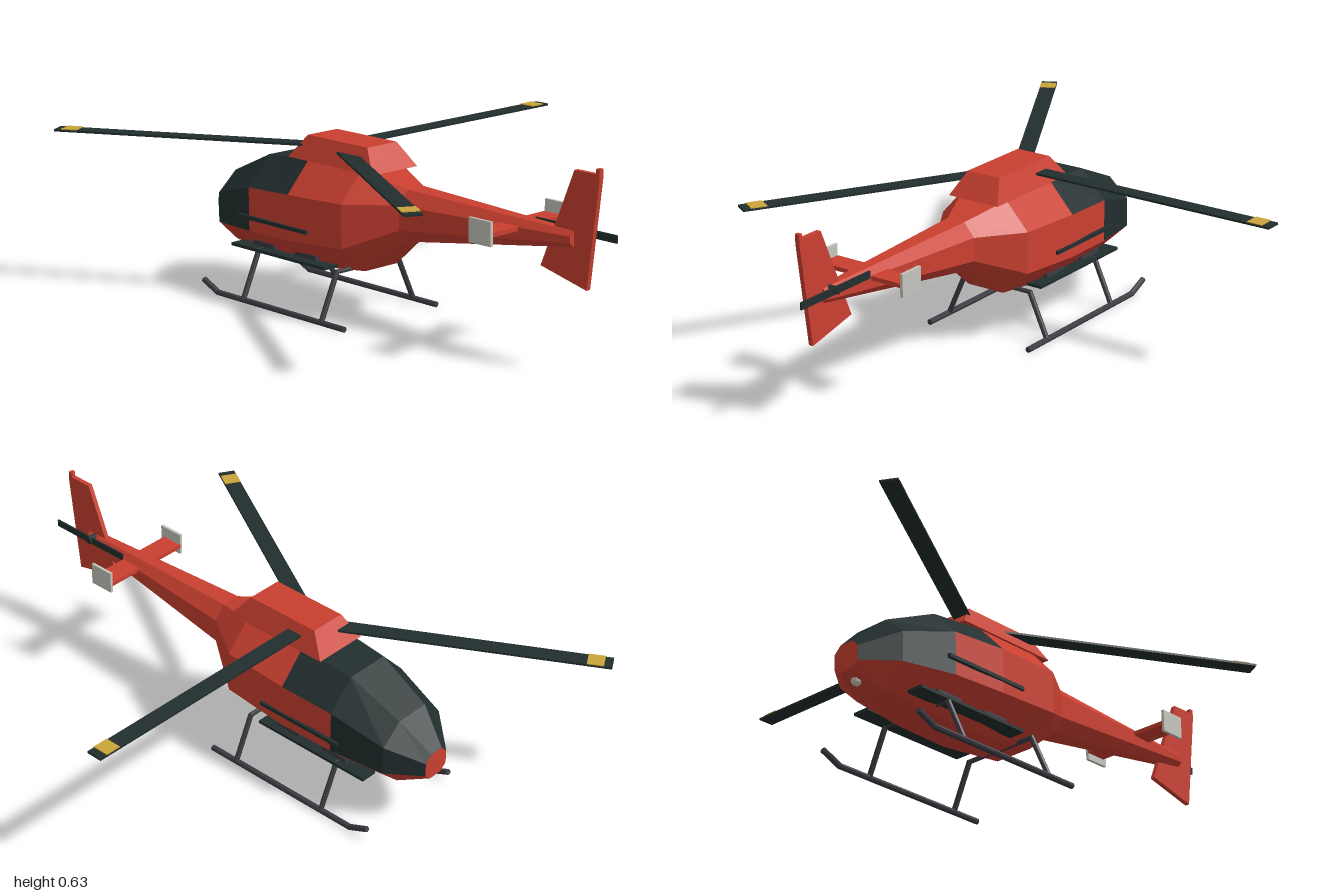
import * as THREE from 'three';

const mat = (name, color) => Object.assign(new THREE.MeshStandardMaterial({ color, flatShading: true }), { name });

export function createModel() {
  const red = mat('red paint', 0xc93f30);
  const dark = mat('dark glass and blades', 0x222e2e);
  const yellow = mat('yellow band', 0xcaa53a);
  const grey = mat('light grey', 0xc6c6be);
  const steel = mat('skid steel', 0x3c3b42);

  const root = new THREE.Group();
  root.name = 'helicopter';
  const craft = new THREE.Group();
  craft.name = 'airframe';
  craft.position.x = -0.23; // the airframe sits off centre because of the rotor
  root.add(craft);

  const add = (name, geo, material, x = 0, y = 0, z = 0, parent = craft) => {
    const m = new THREE.Mesh(geo, material);
    m.name = name;
    m.position.set(x, y, z);
    parent.add(m);
    return m;
  };
  const box = (name, w, h, d, material, x, y, z, parent) =>
    add(name, new THREE.BoxGeometry(w, h, d), material, x, y, z, parent);
  const rod = (name, a, b, r, material) => {
    const from = new THREE.Vector3(...a), to = new THREE.Vector3(...b);
    const dir = to.clone().sub(from);
    const m = add(name, new THREE.CylinderGeometry(r, r, dir.length(), 8), material);
    m.position.copy(from).add(to).multiplyScalar(0.5);
    m.quaternion.setFromUnitVectors(new THREE.Vector3(0, 1, 0), dir.normalize());
    return m;
  };

  // Hull sections, nose to tail: z, half width, top half, bottom half, y of top, shoulder, chine, bottom
  const sections = [
    [-0.685, 0.05, 0.025, 0.025, 0.294, 0.27, 0.222, 0.2],
    [-0.58, 0.135, 0.062, 0.06, 0.39, 0.325, 0.225, 0.155],
    [-0.39, 0.17, 0.078, 0.07, 0.475, 0.38, 0.235, 0.14],
    [-0.19, 0.18, 0.088, 0.072, 0.49, 0.39, 0.24, 0.137],
    [0.05, 0.172, 0.088, 0.07, 0.49, 0.398, 0.255, 0.165],
    [0.205, 0.073, 0.034, 0.034, 0.45, 0.405, 0.325, 0.283],
    [0.87, 0.024, 0.011, 0.011, 0.432, 0.418, 0.398, 0.385],
  ];
  const rings = sections.map(([z, w, t, b, yt, yu, yl, yb]) => [
    [b, yb, z], [w, yl, z], [w, yu, z], [t, yt, z], [-t, yt, z], [-w, yu, z], [-w, yl, z], [-b, yb, z],
  ]);
  const paint = [], glass = [];
  for (let i = 0; i < rings.length - 1; i++) {
    for (let k = 0; k < 8; k++) {
      const n = (k + 1) % 8;
      const a = rings[i][k], b = rings[i][n], c = rings[i + 1][n], d = rings[i + 1][k];
      const isGlass = (k >= 2 && k <= 4 && i < 3) || ((k === 1 || k === 5) && i < 2);
      (isGlass ? glass : paint).push(...a, ...b, ...c, ...a, ...c, ...d);
    }
  }
  const first = rings[0], last = rings[rings.length - 1];
  for (let k = 1; k < 7; k++) {
    paint.push(...first[0], ...first[k + 1], ...first[k]);
    paint.push(...last[0], ...last[k], ...last[k + 1]);
  }
  const hull = (name, pos, material) => {
    const g = new THREE.BufferGeometry();
    g.setAttribute('position', new THREE.Float32BufferAttribute(pos, 3));
    g.computeVertexNormals();
    add(name, g, material);
  };
  hull('fuselage', paint, red);
  hull('canopy', glass, dark);

  // Tapered engine cowling
  const cowl = new THREE.BoxGeometry(0.196, 0.075, 0.39);
  const p = cowl.attributes.position;
  for (let i = 0; i < p.count; i++) {
    if (p.getY(i) > 0) p.setXYZ(i, p.getX(i) * 0.65, p.getY(i), p.getZ(i) * 0.705);
  }
  cowl.computeVertexNormals();
  add('engineCowling', cowl, red, 0, 0.5255, -0.082);

  // Main rotor: three blades with a yellow band on top
  const rotor = new THREE.Group();
  rotor.name = 'mainRotor';
  rotor.position.set(0, 0.53, -0.15);
  craft.add(rotor);
  for (let i = 0; i < 3; i++) {
    const arm = new THREE.Group();
    arm.name = 'rotorBlade';
    arm.rotation.y = (i * Math.PI * 2) / 3;
    rotor.add(arm);
    box('blade', 0.885, 0.007, 0.056, dark, 0.5225, 0, 0, arm);
    box('bladeBand', 0.054, 0.003, 0.056, yellow, 0.912, 0.005, 0, arm);
  }

  // Tail fin
  const finShape = new THREE.Shape([
    [0.922, 0.262], [0.74, 0.305], [0.868, 0.615], [0.95, 0.615], [0.952, 0.632], [0.965, 0.632], [0.965, 0.6],
  ].map(([z, y]) => new THREE.Vector2(z, y)));
  const fin = new THREE.ExtrudeGeometry(finShape, { depth: 0.016, bevelEnabled: false });
  fin.translate(0, 0, -0.008).rotateY(-Math.PI / 2);
  add('tailFin', fin, red);

  // Stabiliser and tail rotor
  box('stabiliser', 0.326, 0.014, 0.077, red, 0, 0.41, 0.638);
  box('tailRotorBlade', 0.006, 0.024, 0.32, dark, 0.035, 0.423, 0.84);
  rod('tailRotorHub', [0, 0.423, 0.84], [0.044, 0.423, 0.84], 0.013, dark);

  // Nose light
  add('noseLight', new THREE.SphereGeometry(0.018, 8, 6), grey, 0, 0.185, -0.64);

  // Landing gear, steps, rails and end plates on both sides
  for (const s of [1, -1]) {
    box('endPlate', 0.01, 0.076, 0.09, grey, s * 0.166, 0.418, 0.645);
    box('doorRail', 0.012, 0.012, 0.33, dark, s * 0.18, 0.283, -0.265);
    box('stepBoard', 0.06, 0.01, 0.45, dark, s * 0.115, 0.165, -0.285);
    for (const z of [-0.17, -0.37]) {
      box('stepBracket', 0.03, 0.016, 0.1, steel, s * 0.112, 0.184, z);
    }
    rod('skid', [s * 0.203, 0.01, 0.094], [s * 0.203, 0.01, -0.516], 0.01, steel);
    rod('skidTip', [s * 0.203, 0.01, -0.512], [s * 0.203, 0.041, -0.583], 0.01, steel);
    for (const z of [-0.013, -0.387]) {
      rod('skidLeg', [s * 0.203, 0.01, z], [s * 0.133, 0.165, z], 0.009, steel);
    }
  }
  for (const z of [-0.013, -0.387]) {
    rod('crossTube', [-0.138, 0.163, z], [0.138, 0.163, z], 0.008, steel);
  }
  return root;
}
